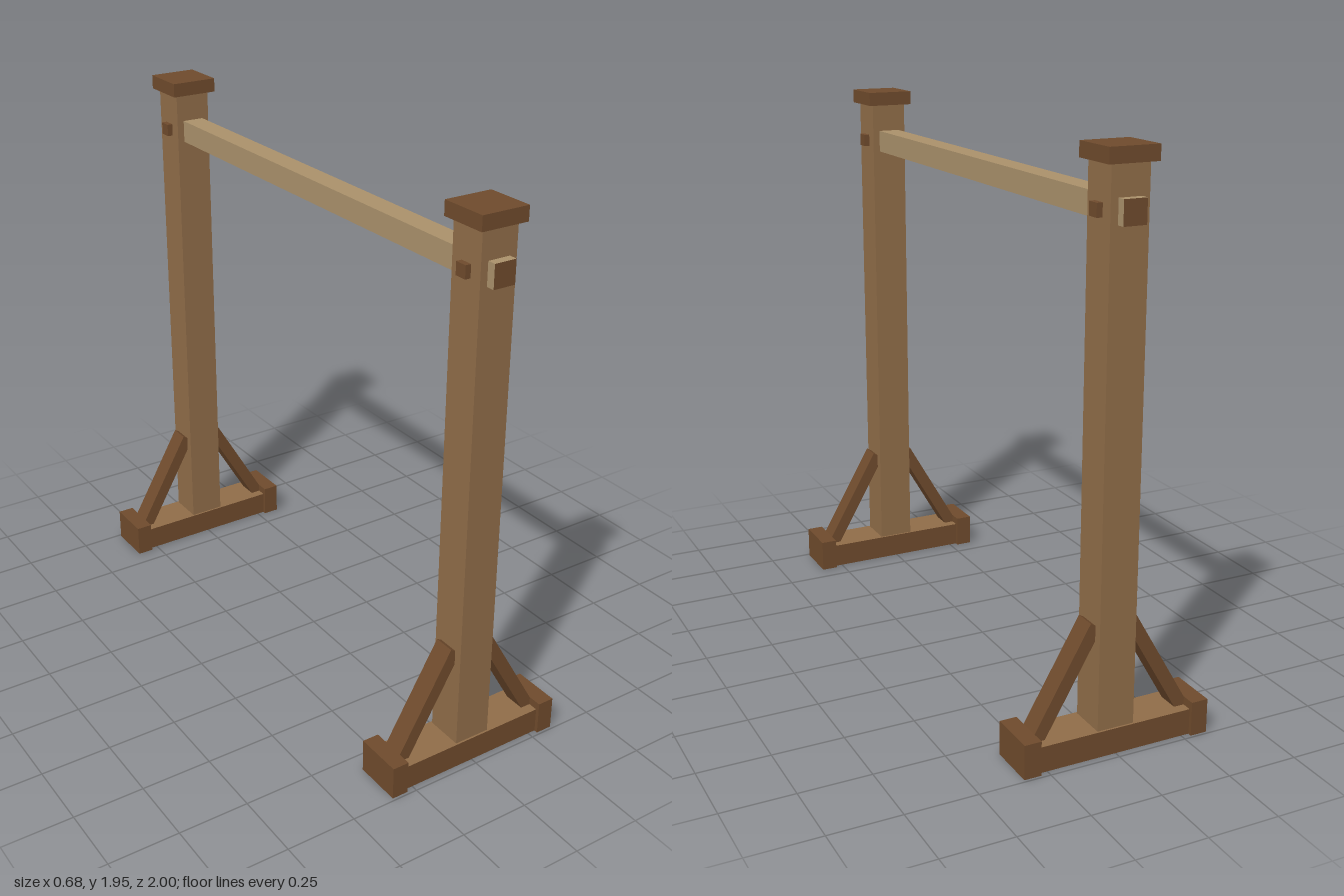
import * as THREE from 'three';

export function createModel() {
  const model = new THREE.Group();
  const paint = (name, color) => Object.assign(new THREE.MeshStandardMaterial({ color }), { name });
  const postWood = paint('post wood', 0x8f6c48);
  const darkWood = paint('dark wood', 0x6e4a2c);
  const beamWood = paint('beam wood', 0xa9906a);

  const box = (parent, name, size, pos, material) => {
    const mesh = new THREE.Mesh(new THREE.BoxGeometry(...size), material);
    mesh.name = name;
    mesh.position.set(...pos);
    parent.add(mesh);
    return mesh;
  };

  // Crossbeam with dark end grain
  box(model, 'crossbeam', [0.08, 0.08, 2], [0, 1.76, 0],
    [beamWood, beamWood, beamWood, beamWood, darkWood, darkWood]);

  // Two identical stands
  for (const end of [1, -1]) {
    const stand = new THREE.Group();
    stand.name = end > 0 ? 'frontStand' : 'backStand';
    stand.position.z = end * 0.904;
    model.add(stand);

    box(stand, 'post', [0.132, 1.82, 0.132], [0, 0.99, 0], postWood);
    box(stand, 'postCap', [0.172, 0.05, 0.172], [0, 1.925, 0], darkWood);
    box(stand, 'peg', [0.172, 0.044, 0.044], [0, 1.76, 0], darkWood);

    // Sill: lighter top face, dark sides
    box(stand, 'baseSill', [0.56, 0.09, 0.146], [0, 0.046, 0],
      [darkWood, darkWood, postWood, darkWood, darkWood, darkWood]);

    for (const side of [1, -1]) {
      const prefix = side > 0 ? 'left' : 'right';
      box(stand, prefix + 'Foot', [0.06, 0.12, 0.172], [side * 0.309, 0.06, 0], darkWood);
      // Diagonal brace at 60 degrees
      const brace = box(stand, prefix + 'Brace', [0.046, 0.42, 0.075], [side * 0.168, 0.265, 0], darkWood);
      brace.rotation.z = side * Math.PI / 6;
    }
  }
  return model;
}
